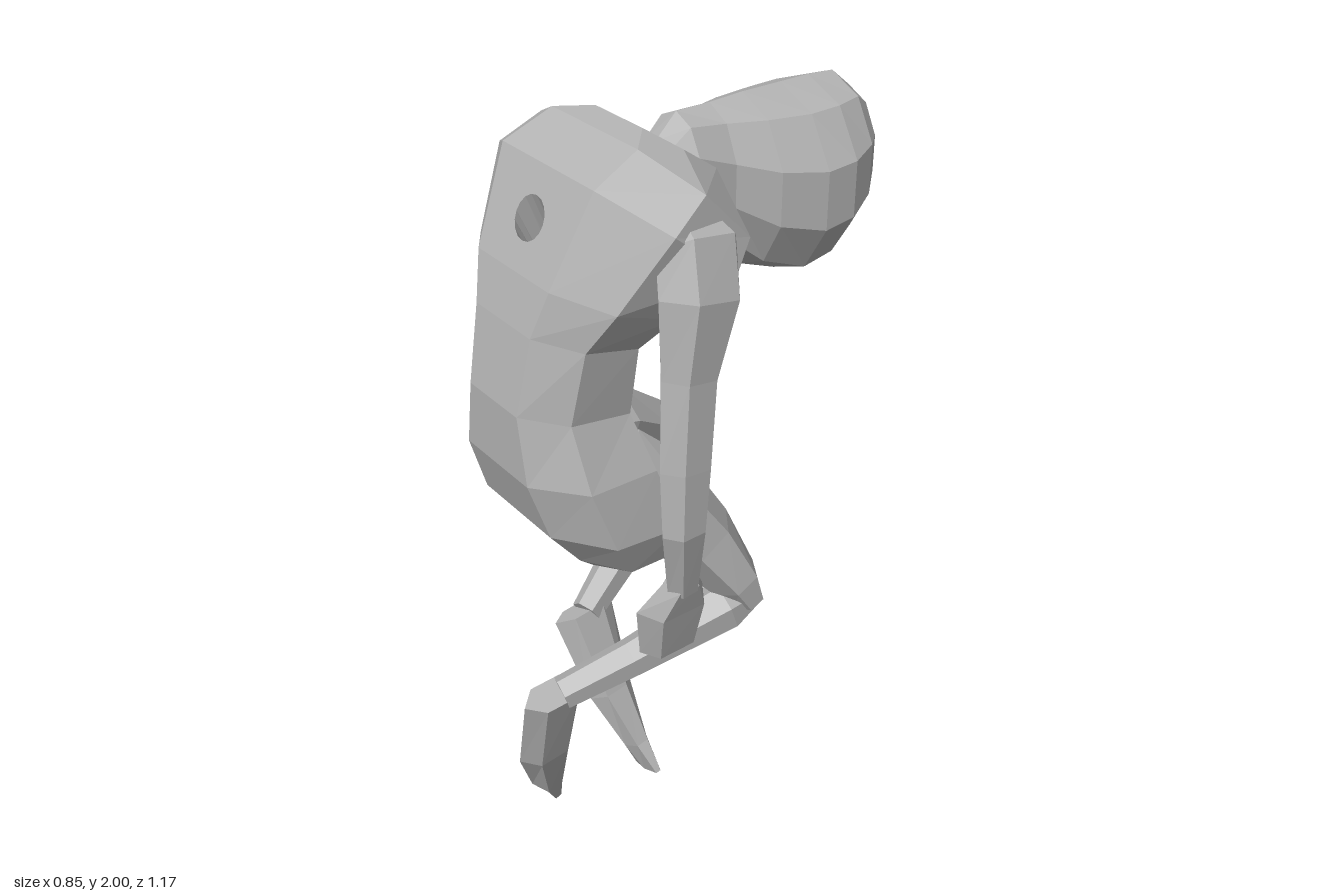
import * as THREE from 'three';

const clay = new THREE.MeshStandardMaterial({ color: 0xb3b3b3 });
clay.name = 'clay grey';

const V = (x, y, z) => new THREE.Vector3(x, y, z);

// Faceted skin over rings of points; skip(k, i) leaves a facet open.
function loft(rings, caps = true, skip = () => false) {
  const pos = [];
  const tri = (...pts) => pts.forEach((p) => pos.push(p.x, p.y, p.z));
  const n = rings[0].length;
  for (let k = 0; k < rings.length - 1; k++) {
    for (let i = 0; i < n; i++) {
      if (skip(k, i)) continue;
      const j = (i + 1) % n;
      tri(rings[k][i], rings[k][j], rings[k + 1][j]);
      tri(rings[k][i], rings[k + 1][j], rings[k + 1][i]);
    }
  }
  if (caps) {
    const first = rings[0];
    const last = rings[rings.length - 1];
    for (let i = 1; i < n - 1; i++) {
      tri(first[0], first[i + 1], first[i]);
      tri(last[0], last[i], last[i + 1]);
    }
  }
  const geo = new THREE.BufferGeometry();
  geo.setAttribute('position', new THREE.Float32BufferAttribute(pos, 3));
  geo.computeVertexNormals();
  return geo;
}

// Low-poly limb along stations [x, y, z, half width, half depth].
function limb(stations, sides = 6) {
  const centres = stations.map(([x, y, z]) => V(x, y, z));
  return loft(stations.map(([, , , a, b], k) => {
    const t = centres[Math.min(k + 1, centres.length - 1)].clone()
      .sub(centres[Math.max(k - 1, 0)]).normalize();
    const u = V(1, 0, 0).addScaledVector(t, -t.x).normalize();
    const v = t.clone().cross(u);
    const half = a / Math.cos(Math.PI / sides);
    return Array.from({ length: sides }, (_, i) => {
      const ang = (i + 0.5) / sides * Math.PI * 2;
      return centres[k].clone()
        .addScaledVector(u, half * Math.cos(ang))
        .addScaledVector(v, b * Math.sin(ang));
    });
  }));
}

export function createModel() {
  const model = new THREE.Group();
  model.name = 'crouchingFigure';
  const add = (name, geo) => {
    const mesh = new THREE.Mesh(geo, clay);
    mesh.name = name;
    model.add(mesh);
  };

  // Torso sections: [back y, back z, belly y, belly z, half width], hips to neck
  const sections = [
    [0.84, 0.31, 0.86, 0.17, 0.14],
    [0.92, 0.385, 0.92, 0.13, 0.25],
    [1.04, 0.48, 1.02, 0.13, 0.285],
    [1.20, 0.53, 1.20, 0.19, 0.26],
    [1.38, 0.53, 1.34, 0.23, 0.20],
    [1.58, 0.49, 1.52, 0.225, 0.225],
    [1.70, 0.455, 1.60, 0.16, 0.29],
    [1.93, 0.35, 1.68, 0.04, 0.36],
    [1.99, 0.22, 1.75, -0.01, 0.33],
    [2.00, 0.15, 1.88, -0.02, 0.18],
  ];
  const across = [0.52, 1, 1, 0.5, -0.5, -1, -1, -0.52];
  const along = [1, 0.7, 0.14, 0, 0, 0.14, 0.7, 1];
  const torso = sections.map(([by, bz, fy, fz, w]) => across.map((f, i) =>
    V(f * w, THREE.MathUtils.lerp(fy, by, along[i]), THREE.MathUtils.lerp(fz, bz, along[i]))));
  const BACK = { k: 6, left: 0 };
  const CHEST = { k: 4, left: 3 };
  add('torso', loft(torso, true, (k, i) =>
    (k === BACK.k && i === 7) || (k === CHEST.k && i === 3)));

  // Flat panels with a round opening, and the bore joining them
  const sides = 16;
  const radius = 0.055;
  const circle = Array.from({ length: sides }, (_, i) => {
    const a = i / sides * Math.PI * 2;
    return new THREE.Vector2(radius * Math.cos(a), radius * Math.sin(a));
  });
  function openPanel(name, { k, left }, dir) {
    const low = torso[k][left];
    const high = torso[k + 1][left];
    const mid = V(0, (low.y + high.y) / 2, (low.z + high.z) / 2);
    const up = V(0, high.y - low.y, high.z - low.z);
    const h = up.length() / 2;
    up.normalize();
    const shape = new THREE.Shape([
      new THREE.Vector2(-low.x, -h), new THREE.Vector2(low.x, -h),
      new THREE.Vector2(high.x, h), new THREE.Vector2(-high.x, h),
    ]);
    shape.holes.push(new THREE.Path(circle.slice().reverse()));
    const side = V(dir, 0, 0);
    const frame = new THREE.Matrix4().makeBasis(side, up, side.clone().cross(up)).setPosition(mid);
    add(name, new THREE.ShapeGeometry(shape).applyMatrix4(frame));
    return circle.map((p) => V(p.x, 0, 0).add(mid).addScaledVector(up, p.y));
  }
  const backRim = openPanel('backPanel', BACK, 1);
  const chestRim = openPanel('chestPanel', CHEST, -1);
  add('bore', loft([backRim, chestRim], false));

  // Neck and bowed head: [z, bottom y, top y, half width]
  const headRings = [
    [0.05, 1.76, 1.92, 0.08],
    [-0.01, 1.72, 1.98, 0.095],
    [-0.11, 1.62, 1.98, 0.11],
    [-0.21, 1.53, 1.985, 0.165],
    [-0.33, 1.485, 1.985, 0.20],
    [-0.42, 1.505, 1.985, 0.20],
    [-0.50, 1.555, 1.98, 0.165],
    [-0.56, 1.63, 1.93, 0.11],
    [-0.585, 1.72, 1.86, 0.06],
  ].map(([z, y0, y1, w]) => Array.from({ length: 10 }, (_, i) => {
    const a = (i + 0.5) / 10 * Math.PI * 2;
    return V(0.007 + w * Math.cos(a) * 1.03, (y0 + y1) / 2 - (y1 - y0) / 2 * Math.sin(a), z);
  }));
  add('neckAndHead', loft(headRings));

  // Arms hanging beside the body
  add('leftArm', limb([
    [0.24, 1.84, 0.16, 0.05, 0.07], [0.315, 1.80, 0.165, 0.07, 0.115],
    [0.345, 1.69, 0.18, 0.075, 0.115], [0.355, 1.50, 0.215, 0.055, 0.08],
    [0.37, 1.27, 0.235, 0.05, 0.075],
    [0.38, 1.10, 0.245, 0.042, 0.065], [0.34, 0.89, 0.22, 0.035, 0.045],
  ]));
  add('rightArm', limb([
    [-0.24, 1.84, 0.16, 0.05, 0.07], [-0.315, 1.80, 0.165, 0.07, 0.115],
    [-0.35, 1.69, 0.18, 0.075, 0.115], [-0.35, 1.50, 0.21, 0.062, 0.08],
    [-0.355, 1.29, 0.21, 0.05, 0.075],
    [-0.345, 1.10, 0.175, 0.042, 0.06], [-0.32, 0.88, 0.11, 0.035, 0.045],
  ]));
  add('leftHand', limb([
    [0.34, 0.91, 0.22, 0.035, 0.05], [0.305, 0.82, 0.22, 0.045, 0.11],
    [0.28, 0.67, 0.215, 0.035, 0.09],
  ], 5));
  add('rightHand', limb([
    [-0.32, 0.90, 0.11, 0.035, 0.05], [-0.305, 0.79, 0.065, 0.055, 0.11],
    [-0.23, 0.63, 0.08, 0.04, 0.08],
  ], 5));

  // Folded legs with crossed shins
  add('leftThigh', limb([
    [0.12, 1.13, 0.27, 0.12, 0.13], [0.16, 1.06, 0.18, 0.115, 0.125],
    [0.22, 0.91, 0.07, 0.085, 0.10], [0.265, 0.77, -0.01, 0.07, 0.07],
    [0.28, 0.70, -0.04, 0.055, 0.045],
  ]));
  add('leftShin', limb([
    [0.28, 0.715, -0.055, 0.04, 0.035], [0.265, 0.695, 0.02, 0.06, 0.07],
    [0.20, 0.60, 0.28, 0.045, 0.055], [0.15, 0.54, 0.47, 0.04, 0.045],
  ]));
  add('leftFoot', limb([
    [0.15, 0.55, 0.495, 0.042, 0.09], [0.07, 0.30, 0.48, 0.045, 0.085],
    [-0.01, 0.11, 0.44, 0.05, 0.045], [-0.06, 0.03, 0.41, 0.06, 0.02],
  ]));
  add('rightThigh', limb([
    [-0.11, 1.13, 0.26, 0.12, 0.14], [-0.13, 1.10, 0.12, 0.11, 0.12],
    [-0.155, 1.02, -0.03, 0.08, 0.09], [-0.165, 0.94, -0.17, 0.06, 0.06],
    [-0.165, 0.915, -0.22, 0.045, 0.035],
  ]));
  add('rightShin', limb([
    [-0.165, 0.92, -0.205, 0.04, 0.035], [-0.15, 0.875, -0.13, 0.06, 0.065],
    [-0.08, 0.74, 0.08, 0.05, 0.06], [-0.01, 0.62, 0.28, 0.035, 0.045],
  ]));
  add('rightFoot', limb([
    [-0.02, 0.63, 0.285, 0.035, 0.09], [0.05, 0.38, 0.25, 0.04, 0.065],
    [0.11, 0.21, 0.21, 0.045, 0.035], [0.145, 0.12, 0.19, 0.06, 0.015],
  ]));

  return model;
}
